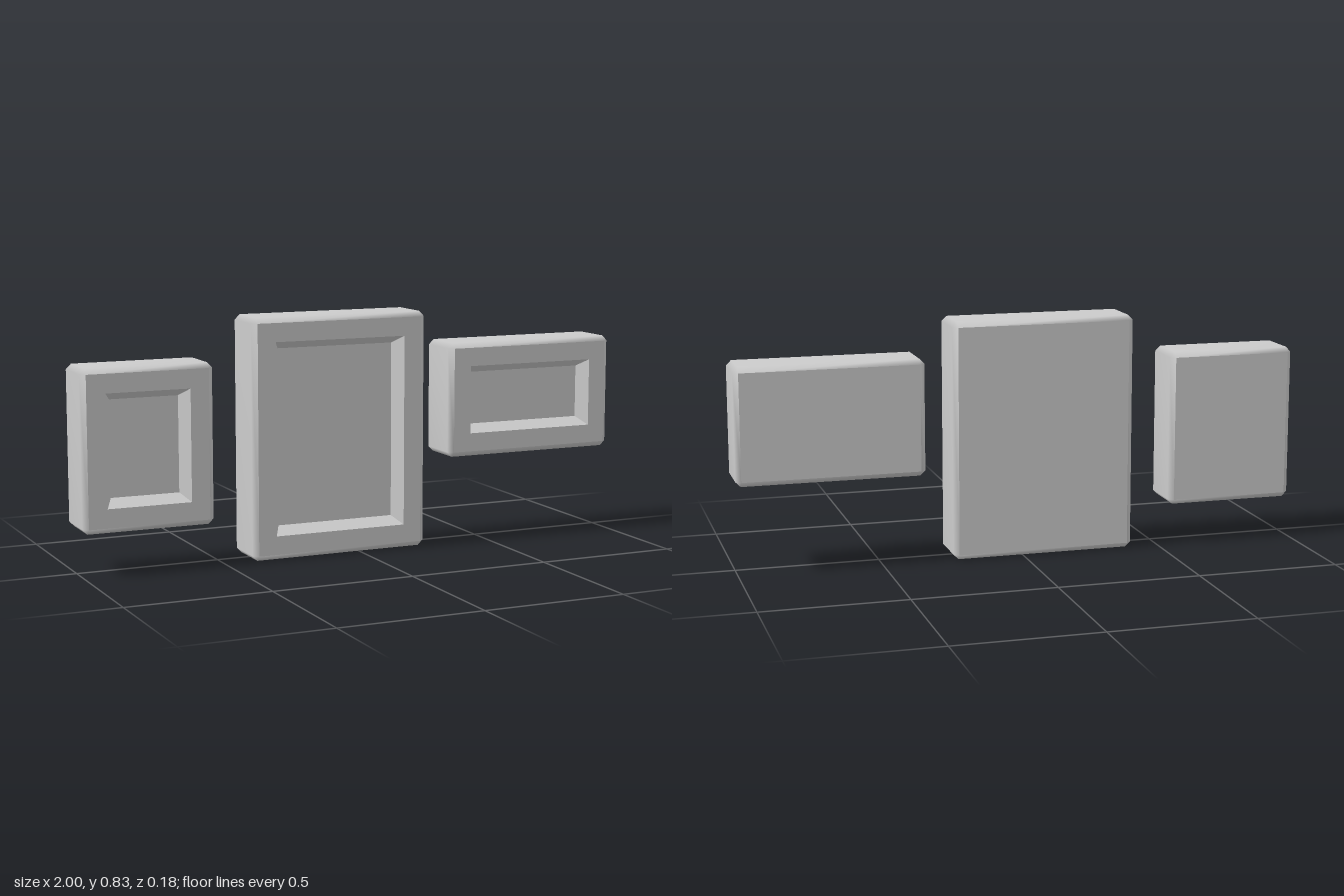
import * as THREE from 'three';
import { mergeVertices } from 'three/addons/utils/BufferGeometryUtils.js';

const HALF_DEPTH = 0.092; // half thickness of a frame
const BEVEL = 0.018;      // chamfer on every outer edge
const BORDER = 0.083;     // outer edge to the recess opening
const SLOPE = 0.027;      // how far the recess walls lean inwards
const RECESS = 0.05;      // depth of the recess

// Rectangular ring of eight points, counter-clockwise from the front; cut clips the corners
function ring(width, height, inset, z, cut = 0) {
  const x = width / 2 - inset, y = height / 2 - inset;
  return [
    [x, -y + cut], [x, y - cut], [x - cut, y], [-x + cut, y],
    [-x, y - cut], [-x, -y + cut], [-x + cut, -y], [x - cut, -y],
  ].map(([px, py]) => [px, py, z]);
}

// Skin between successive rings, with smooth or flat normals
function loft(rings, smooth) {
  const n = rings[0].length, index = [];
  for (let r = 0; r < rings.length - 1; r++) {
    for (let i = 0; i < n; i++) {
      const j = (i + 1) % n, a = r * n, b = a + n;
      index.push(a + i, a + j, b + j, a + i, b + j, b + i);
    }
  }
  let geometry = new THREE.BufferGeometry();
  geometry.setAttribute('position', new THREE.Float32BufferAttribute(rings.flat(2), 3));
  geometry.setIndex(index);
  geometry = smooth ? mergeVertices(geometry) : geometry.toNonIndexed();
  geometry.computeVertexNormals();
  return geometry;
}

function makeFrame(name, left, right, bottom, top, material) {
  const w = right - left, h = top - bottom, d = HALF_DEPTH;
  const frame = new THREE.Group();
  frame.name = name;
  frame.position.set((left + right) / 2, (bottom + top) / 2, 0);
  const add = (part, geometry) => {
    const mesh = new THREE.Mesh(geometry, material);
    mesh.name = part;
    frame.add(mesh);
    return mesh;
  };

  // Chamfered outer sides
  add('frameSides', loft([
    ring(w, h, BEVEL, -d),
    ring(w, h, 0, -d + BEVEL, BEVEL),
    ring(w, h, 0, d - BEVEL, BEVEL),
    ring(w, h, BEVEL, d),
  ], true));

  // Flat front border and leaning recess walls
  add('frameBorder', loft([ring(w, h, BEVEL, d), ring(w, h, BORDER, d)], false));
  add('recessWalls', loft([
    ring(w, h, BORDER, d),
    ring(w, h, BORDER + SLOPE, d - RECESS),
  ], false));

  // Picture panel at the bottom of the recess
  const inset = 2 * (BORDER + SLOPE);
  add('picturePanel', new THREE.PlaneGeometry(w - inset, h - inset)).position.z = d - RECESS;

  // Plain back
  const back = add('backPanel', new THREE.PlaneGeometry(w - 2 * BEVEL, h - 2 * BEVEL));
  back.position.z = -d;
  back.rotation.y = Math.PI;
  return frame;
}

export function createModel() {
  const model = new THREE.Group();
  model.name = 'pictureFrames';
  const grey = new THREE.MeshStandardMaterial({ color: 0xcccccc });
  grey.name = 'light grey';

  model.add(
    makeFrame('smallFrame', -1, -0.54, 0.145, 0.695, grey),
    makeFrame('largeFrame', -0.4, 0.25, 0, 0.835, grey),
    makeFrame('wideFrame', 0.347, 1, 0.308, 0.715, grey),
  );
  return model;
}
